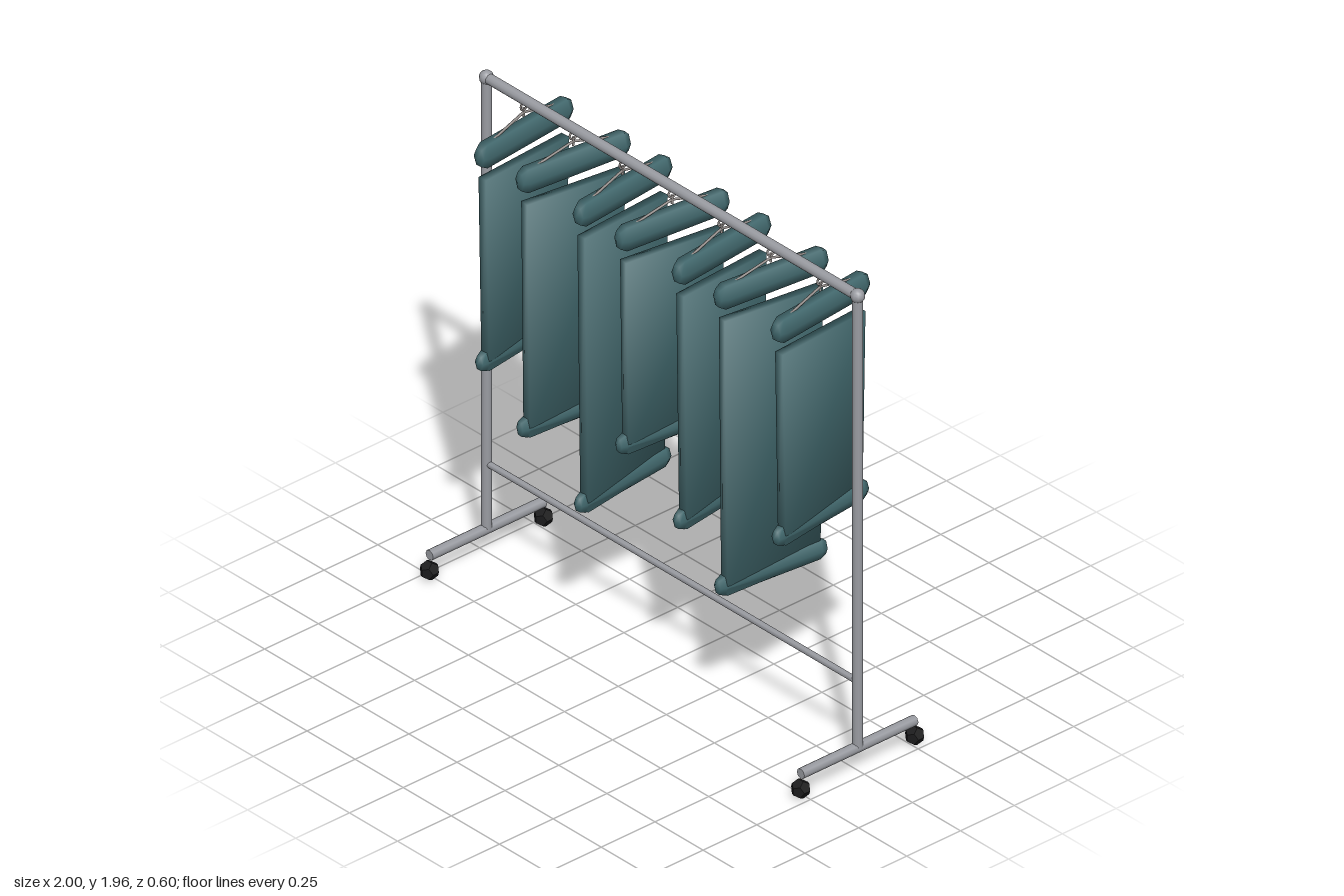
import * as THREE from 'three';

const metal = new THREE.MeshStandardMaterial({ color: 0x9a9ca2 });
metal.name = 'brushed metal';
const wire = new THREE.MeshStandardMaterial({ color: 0x98928f });
wire.name = 'hanger wire';
const cloth = new THREE.MeshStandardMaterial({ color: 0x41686d });
cloth.name = 'teal cloth';
const rubber = new THREE.MeshStandardMaterial({ color: 0x1b1b1c });
rubber.name = 'black rubber';
rubber.flatShading = true;

function add(parent, name, geometry, material, x = 0, y = 0, z = 0) {
  const mesh = new THREE.Mesh(geometry, material);
  mesh.name = name;
  mesh.position.set(x, y, z);
  parent.add(mesh);
  return mesh;
}

// Straight round bar between two points
function bar(parent, name, a, b, radius, material, sides = 10) {
  const from = new THREE.Vector3(...a), to = new THREE.Vector3(...b);
  const dir = to.clone().sub(from);
  const mesh = add(parent, name, new THREE.CylinderGeometry(radius, radius, dir.length(), sides), material);
  mesh.position.copy(from).add(to).multiplyScalar(0.5);
  mesh.quaternion.setFromUnitVectors(new THREE.Vector3(0, 1, 0), dir.normalize());
}

// Six-sided padded roll lying along z
function roll(rx, ry, halfLength) {
  const cap = 0.035;
  const g = new THREE.CapsuleGeometry(cap, 2 * (halfLength - cap), 2, 6);
  g.rotateX(Math.PI / 2);
  g.rotateZ(Math.PI / 2);
  // Turn the hexagon so that its points face sideways
  g.computeBoundingBox();
  const size = g.boundingBox.getSize(new THREE.Vector3());
  if (size.y > size.x) g.rotateZ(Math.PI / 2);
  g.scale(rx / cap, ry / cap, 1);
  return g;
}

// Thin hanging panel, twisted slightly from top to bottom, softly shaded
function panelGeometry(height) {
  const g = new THREE.BoxGeometry(0.036, height, 0.41);
  const p = g.attributes.position, n = g.attributes.normal;
  const v = new THREE.Vector3(), axis = new THREE.Vector3(0, 1, 0);
  for (let i = 0; i < p.count; i++) {
    v.fromBufferAttribute(p, i);
    const twist = v.y > 0 ? -0.037 : 0.037;
    const soft = new THREE.Vector3(Math.sign(v.x), 0.5 * Math.sign(v.y), 0.5 * Math.sign(v.z));
    soft.normalize().applyAxisAngle(axis, twist);
    v.applyAxisAngle(axis, twist);
    p.setXYZ(i, v.x, v.y, v.z);
    n.setXYZ(i, soft.x, soft.y, soft.z);
  }
  return g;
}

function garment(bottom) {
  const g = new THREE.Group();
  g.name = 'garment';
  const top = 1.7;
  add(g, 'panel', panelGeometry(top - bottom), cloth, 0, (top + bottom) / 2, 0);
  add(g, 'shoulder', roll(0.035, 0.054, 0.24), cloth, 0, 1.8, 0);
  add(g, 'hem', roll(0.027, 0.043, 0.24), cloth, 0, bottom + 0.032, 0);

  // Hanger: hook ring, stem and two sloping arms
  const hook = add(g, 'hook', new THREE.TorusGeometry(0.015, 0.004, 6, 14), wire, 0, 1.906, 0);
  hook.rotation.y = Math.PI / 2;
  bar(g, 'hangerStem', [0, 1.9, 0], [0, 1.865, 0], 0.005, wire, 6);
  for (const s of [-1, 1]) bar(g, 'hangerArm', [0, 1.882, 0], [0, 1.838, s * 0.17], 0.005, wire, 6);
  return g;
}

export function createModel() {
  const model = new THREE.Group();
  model.name = 'garmentRack';

  // Frame
  const X = 0.965, railY = 1.935, footY = 0.095, footZ = 0.265;
  bar(model, 'topRail', [-X, railY, 0], [X, railY, 0], 0.02, metal, 12);
  bar(model, 'lowerBar', [-X, 0.363, 0], [X, 0.363, 0], 0.012, metal, 8);
  for (const s of [-1, 1]) {
    const side = new THREE.Group();
    side.name = s > 0 ? 'leftEnd' : 'rightEnd';
    model.add(side);
    bar(side, 'post', [s * X, footY, 0], [s * X, railY, 0], 0.02, metal, 12);
    bar(side, 'foot', [s * X, footY, -footZ], [s * X, footY, footZ], 0.02, metal, 8);
    add(side, 'cornerJoint', new THREE.SphereGeometry(0.027, 10, 8), metal, s * X, railY, 0);
    for (const f of [-1, 1]) {
      add(side, 'caster', new THREE.DodecahedronGeometry(0.037), rubber, s * X, 0.0345, f * footZ);
    }
  }

  // Row of garments in three lengths, turned alternately
  const bottoms = [0.93, 0.76, 0.59];
  for (let i = 0; i < 7; i++) {
    const g = garment(bottoms[i % 3]);
    g.position.x = (i - 3) * 0.257;
    g.rotation.y = i % 2 ? -0.1 : 0.1;
    model.add(g);
  }
  return model;
}
